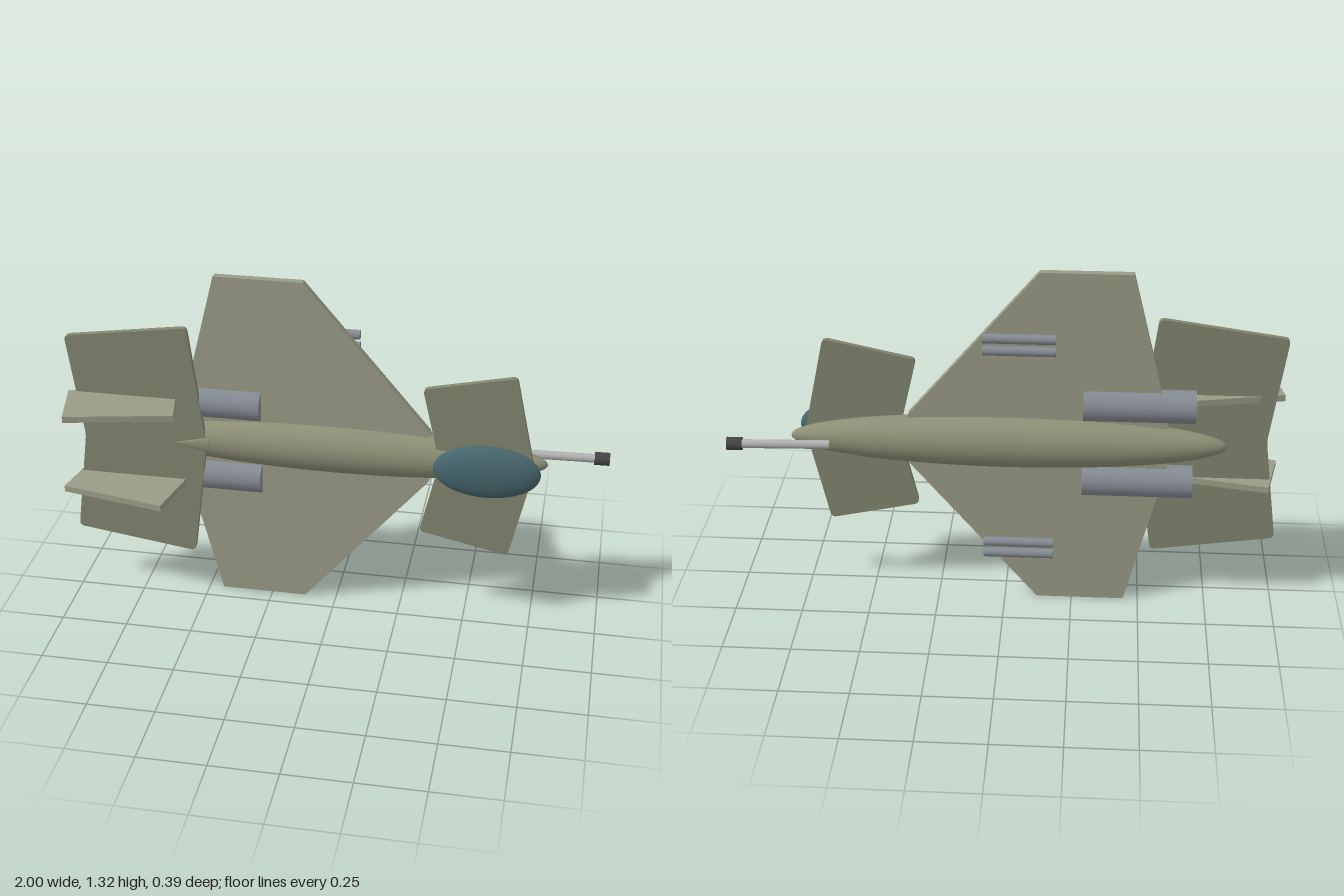
import * as THREE from 'three';

const MID = 0.6575; // height of the long axis

const mat = (color) => new THREE.MeshStandardMaterial({ color });
const skin = mat(0x8d8f76), wingSkin = mat(0x9b9c86), tailSkin = mat(0x83866f);
const engineGrey = mat(0x858b93), steel = mat(0xb0b0b0), dark = mat(0x444444), glass = mat(0x47686f);

// Flat plate from an outline, corners rounded by r, centred on its thickness
function plate(points, thickness, r) {
  const shape = new THREE.Shape();
  const v = points.map(([x, y]) => new THREE.Vector2(x, y));
  v.forEach((p, i) => {
    const prev = v[(i + v.length - 1) % v.length], next = v[(i + 1) % v.length];
    const a = prev.clone().sub(p).setLength(r).add(p);
    const b = next.clone().sub(p).setLength(r).add(p);
    if (i === 0) shape.moveTo(a.x, a.y); else shape.lineTo(a.x, a.y);
    shape.quadraticCurveTo(p.x, p.y, b.x, b.y);
  });
  shape.closePath();
  const g = new THREE.ExtrudeGeometry(shape, { depth: thickness, bevelEnabled: false, curveSegments: 5 });
  return g.translate(0, 0, -thickness / 2);
}

// Outline of the upper half (y measured from the axis) completed by its mirror image
const mirrored = (half) => [...half, ...half.filter((p) => p[1] > 0).reverse().map(([x, y]) => [x, -y])];

export function createModel() {
  const model = new THREE.Group();
  const add = (name, geometry, material, x, y, z) => {
    const mesh = new THREE.Mesh(geometry, material);
    mesh.name = name;
    mesh.position.set(x, y, z);
    model.add(mesh);
    return mesh;
  };
  const rod = (r, length) => new THREE.CylinderGeometry(r, r, length, 32).rotateZ(-Math.PI / 2);
  const ellipsoid = (a, b, c) => new THREE.SphereGeometry(1, 48, 32).rotateZ(Math.PI / 2).scale(a, b, c);

  // Body and canopy
  add('fuselage', ellipsoid(0.79, 0.097, 0.09), skin, -0.01, MID, -0.088);
  add('canopy', ellipsoid(0.195, 0.105, 0.042), glass, 0.565, MID, 0.002);

  // Small pointed fairing where the body meets the tailplane
  const fairing = new THREE.ConeGeometry(0.03, 0.14, 24).rotateZ(Math.PI / 2).scale(1, 1, 0.3);
  add('tailFairing', fairing, skin, -0.54, MID, -0.017);

  // Lifting surfaces
  add('wing', plate(mirrored([[0.35, 0.1], [-0.12, 0.6575], [-0.445, 0.6575], [-0.585, 0.1]]), 0.028, 0.002),
    wingSkin, 0, MID, -0.08);
  add('canard', plate(mirrored([[0.735, 0], [0.655, 0.367], [0.322, 0.295], [0.39, 0]]), 0.02, 0.02),
    tailSkin, 0, MID, -0.04);
  add('tailplane', plate(mirrored([[-0.48, 0], [-0.54, 0.47], [-1, 0.404], [-0.945, 0]]), 0.021, 0.02),
    tailSkin, 0, MID, -0.028);

  for (const side of [1, -1]) {
    const label = side > 0 ? 'upper' : 'lower';

    // Fins: equal rectangles tilted in opposite directions
    const fin = new THREE.BoxGeometry(0.4, 0.024, 0.215).rotateY(side * 0.202);
    add(label + 'Fin', fin, wingSkin, -0.7825, MID + side * 0.168, 0.045);

    // Engine
    add(label + 'Engine', rod(0.06, 0.4), engineGrey, -0.48, MID + side * 0.152, -0.08);

    // Pair of tubes carried behind the wing plate
    for (const offset of [0.387, 0.433]) {
      add(label + 'WingTube', rod(0.0175, 0.255), engineGrey, -0.053, MID + side * offset, -0.153);
    }
  }

  // Nose barrel, slightly tilted, with a thicker muzzle
  const tilt = 0.035;
  add('noseBarrel', rod(0.016, 0.34), steel, 0.8, MID, -0.164).rotation.y = tilt;
  add('muzzle', rod(0.024, 0.055), dark, 0.972, MID, -0.17).rotation.y = tilt;

  return model;
}
